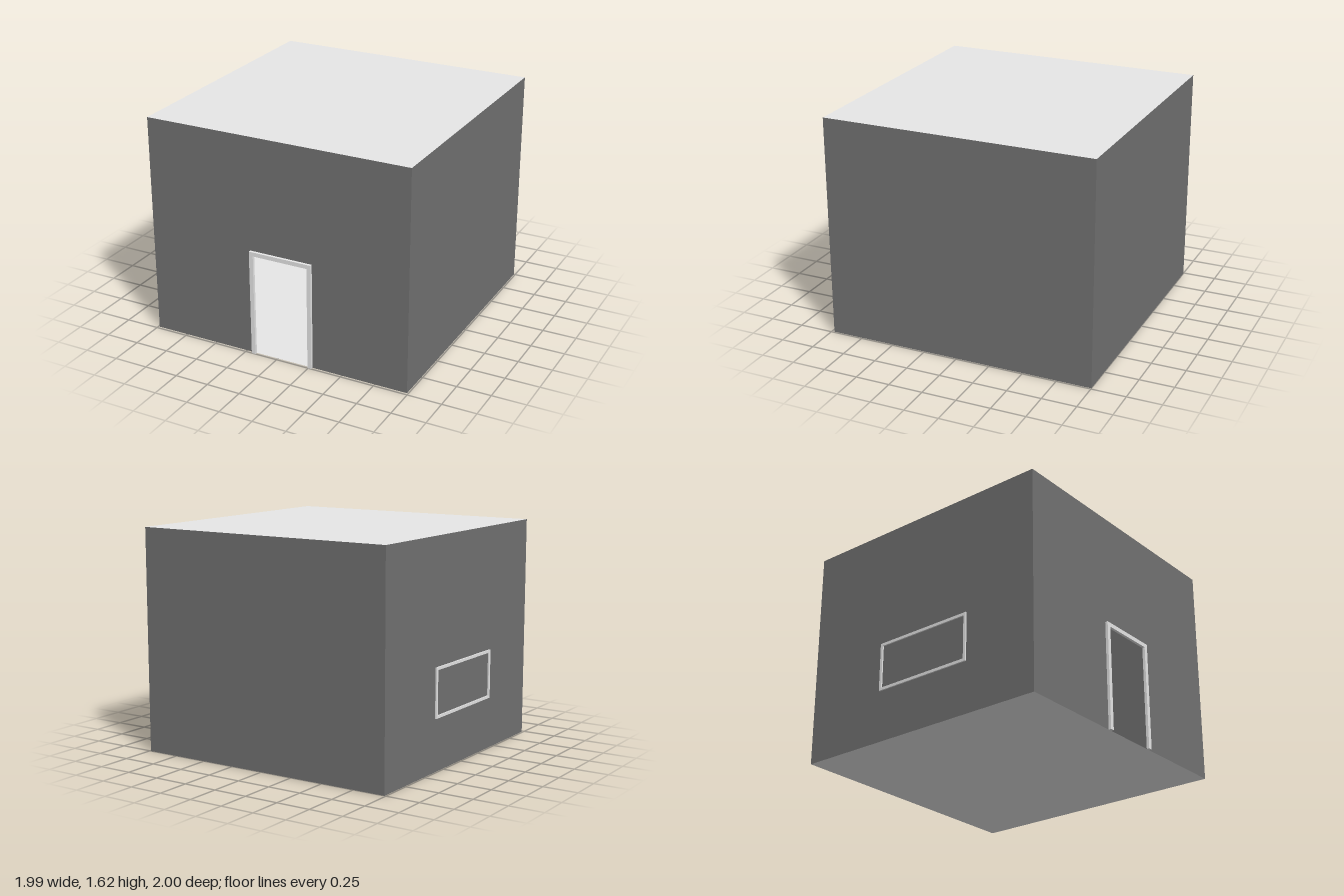
import * as THREE from 'three';

// Rectangular outline added to a shape or path
function rect(path, x0, y0, x1, y1) {
  path.moveTo(x0, y0);
  path.lineTo(x1, y0);
  path.lineTo(x1, y1);
  path.lineTo(x0, y1);
  path.closePath();
  return path;
}

export function createModel() {
  const group = new THREE.Group();
  const wallGrey = new THREE.MeshStandardMaterial({ color: 0x727272, side: THREE.DoubleSide });
  wallGrey.name = 'wallGrey';
  const paleGrey = new THREE.MeshStandardMaterial({ color: 0xe7e7e7, side: THREE.DoubleSide });
  paleGrey.name = 'paleGrey';

  const X = 0.99, BACK = -1, FRONT = 0.98, H = 1.62;
  const depth = FRONT - BACK, midZ = (FRONT + BACK) / 2;
  const door = { x0: -0.17, x1: 0.245, top: 0.76 };
  const trim = 0.03;

  function add(name, geometry, material, x = 0, y = 0, z = 0, ry = 0, rx = 0) {
    const mesh = new THREE.Mesh(geometry, material);
    mesh.name = name;
    mesh.position.set(x, y, z);
    mesh.rotation.set(rx, ry, 0);
    group.add(mesh);
  }

  // Thin shell: front wall with an open doorway
  const front = new THREE.Shape();
  front.moveTo(-X, 0);
  for (const [x, y] of [[door.x0, 0], [door.x0, door.top], [door.x1, door.top],
    [door.x1, 0], [X, 0], [X, H], [-X, H]]) front.lineTo(x, y);
  front.closePath();
  add('frontWall', new THREE.ShapeGeometry(front), wallGrey, 0, 0, FRONT);

  // Solid back and side walls
  add('backWall', new THREE.PlaneGeometry(2 * X, H), wallGrey, 0, H / 2, BACK, Math.PI);
  for (const [name, s] of [['leftWall', 1], ['rightWall', -1]]) {
    add(name, new THREE.PlaneGeometry(depth, H), wallGrey, s * X, H / 2, midZ, s * Math.PI / 2);
  }

  // Pale floor and flat roof
  add('floor', new THREE.PlaneGeometry(2 * X, depth), paleGrey, 0, 0, midZ, 0, Math.PI / 2);
  add('roof', new THREE.PlaneGeometry(2 * X, depth), paleGrey, 0, H, midZ, 0, -Math.PI / 2);

  // Door frame: two posts joined by a lintel
  const frame = new THREE.Shape();
  frame.moveTo(door.x0 - trim, 0);
  for (const [x, y] of [[door.x0, 0], [door.x0, door.top], [door.x1, door.top], [door.x1, 0],
    [door.x1 + trim, 0], [door.x1 + trim, door.top + trim], [door.x0 - trim, door.top + trim]]) {
    frame.lineTo(x, y);
  }
  frame.closePath();
  add('doorFrame', new THREE.ExtrudeGeometry(frame, { depth: 0.02, bevelEnabled: false }),
    paleGrey, 0, 0, FRONT);

  // Window frame on the right wall; its local x runs along +z
  const win = rect(new THREE.Shape(), -0.355, 0.375, 0.42, 0.73);
  win.holes.push(rect(new THREE.Path(), -0.335, 0.395, 0.4, 0.71));
  add('windowFrame', new THREE.ExtrudeGeometry(win, { depth: 0.01, bevelEnabled: false }),
    paleGrey, -X, 0, 0, -Math.PI / 2);

  return group;
}
